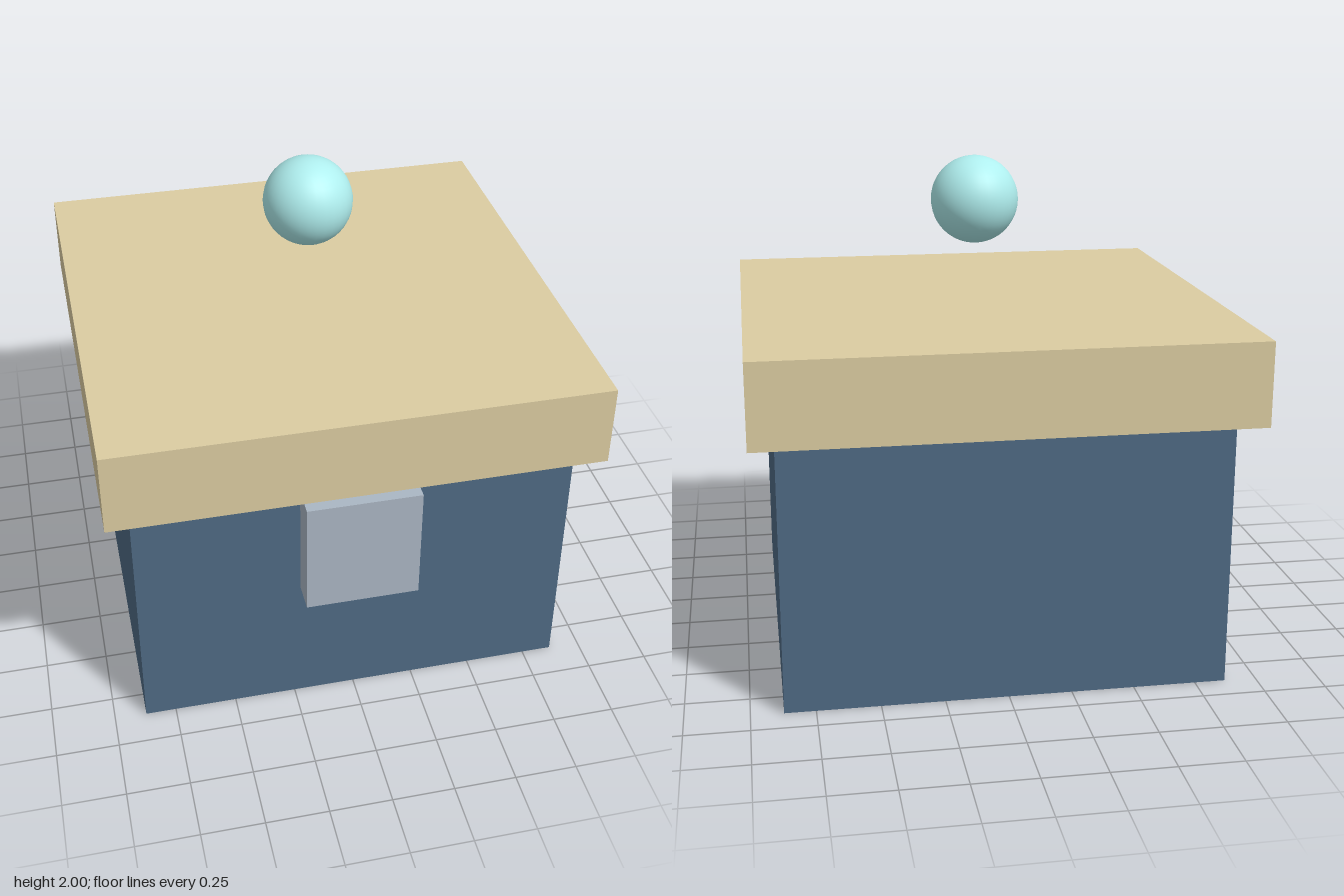
import * as THREE from 'three';

export function createModel() {
  const model = new THREE.Group();
  const centreZ = -0.013;

  const add = (name, geometry, color, x, y, z) => {
    const mesh = new THREE.Mesh(geometry, new THREE.MeshStandardMaterial({ color }));
    mesh.name = name;
    mesh.position.set(x, y, z);
    model.add(mesh);
  };

  // Box body, standing on the ground
  add('body', new THREE.BoxGeometry(1.745, 1.065, 1.745), 0x4f6a84, 0, 0.5325, centreZ);

  // Overhanging lid, with a thin gap above the body
  add('lid', new THREE.BoxGeometry(1.94, 0.333, 1.94), 0xdccda2, 0, 1.2465, centreZ);

  // Clasp just in front of the body
  add('clasp', new THREE.BoxGeometry(0.45, 0.485, 0.117), 0xabb7c4, 0, 0.8225, 0.9265);

  // Ball floating above the lid
  add('ball', new THREE.SphereGeometry(0.18, 32, 24), 0xafeeee, 0, 1.82, centreZ);

  return model;
}
